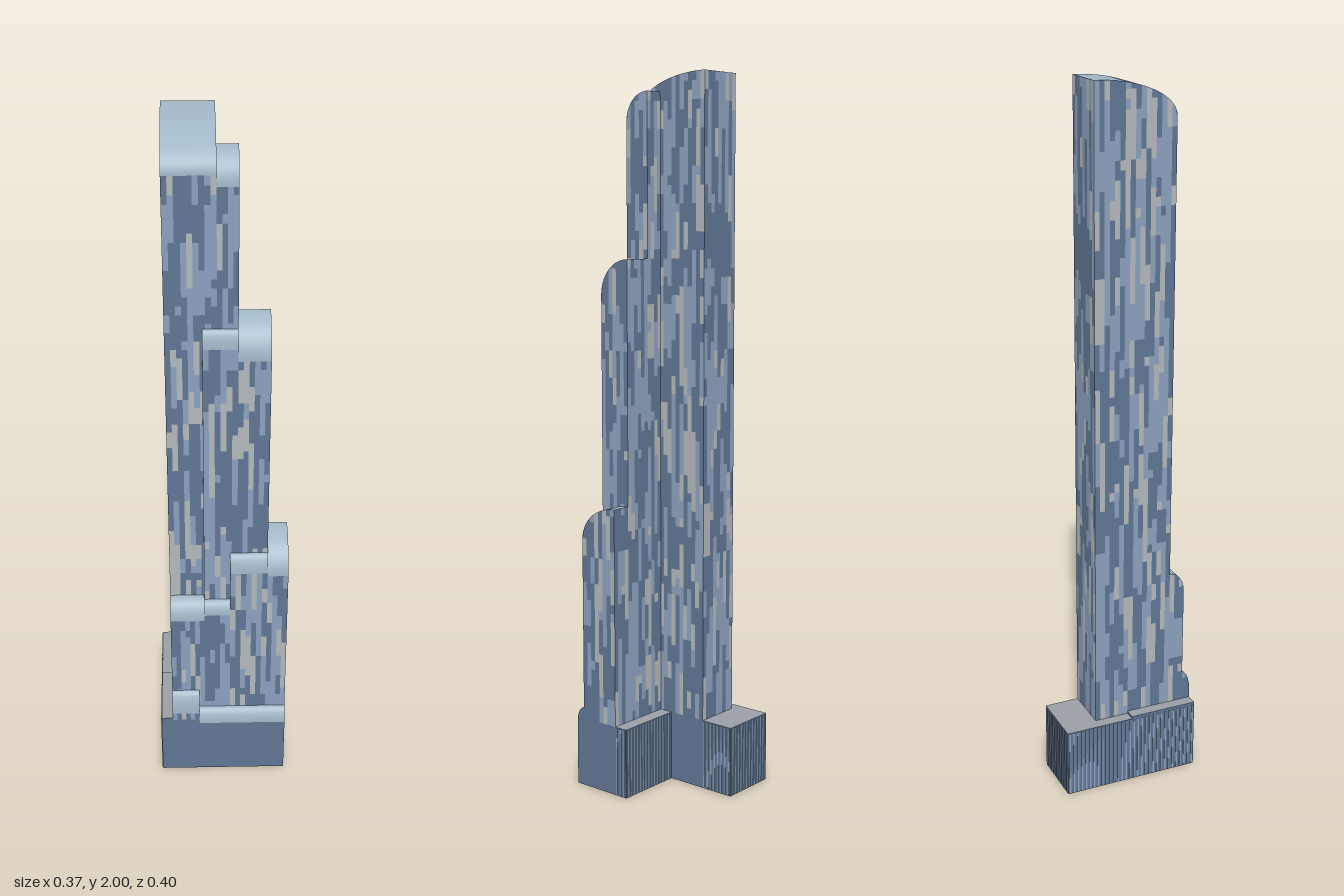
import * as THREE from 'three';
import { mergeGeometries } from 'three/addons/utils/BufferGeometryUtils.js';

const material = (color) => new THREE.MeshStandardMaterial({ color, side: THREE.DoubleSide });

const BASE_TOP = 0.2;

// Small seeded generator for the mosaic of the cladding
function makeRandom(seed) {
  let s = seed;
  return () => (s = (s * 16807) % 2147483647) / 2147483647;
}

function geometryFromPositions(positions) {
  const g = new THREE.BufferGeometry();
  g.setAttribute('position', new THREE.Float32BufferAttribute(positions, 3));
  g.computeVertexNormals();
  return g;
}

// Name, x range, z range, height at the back edge, height at the front edge
const VOLUMES = [
  ['mainTower', -0.15, -0.015, -0.1, 0.13, 2.0, 1.9],
  ['upperSideTower', -0.015, 0.04, 0.055, 0.13, 1.95, 1.87],
  ['middleSideTower', 0.04, 0.125, 0.055, 0.15, 1.5, 1.4],
  ['middleFrontBay', -0.053, 0.04, 0.13, 0.15, 1.485, 1.435],
  ['lowerSideTower', 0.125, 0.183, 0.055, 0.175, 0.82, 0.72],
  ['lowerFrontBay', 0.02, 0.125, 0.15, 0.175, 0.785, 0.73],
  ['lowCentreBay', -0.053, 0.02, 0.15, 0.175, 0.62, 0.58],
  ['lowOuterBay', -0.15, -0.053, 0.13, 0.175, 0.62, 0.56],
  ['entranceHighBay', -0.15, -0.07, 0.175, 0.2, 0.295, 0.225],
  ['entranceLowBay', -0.07, 0.183, 0.175, 0.2, 0.23, 0.185],
  ['rearPodium', -0.183, -0.015, -0.2, -0.1, 0.2, 0.2],
  ['sidePodiumRear', -0.183, -0.15, -0.1, 0, 0.2, 0.2],
  ['sidePodiumFront', -0.183, -0.15, 0, 0.2, 0.207, 0.207],
  ['wingPodium', -0.015, 0.183, 0.015, 0.055, 0.2, 0.2],
];

export function createModel() {
  const model = new THREE.Group();
  model.name = 'steppedTower';
  const random = makeRandom(4711);
  const claddings = [
    ['darkCladding', material(0x5f7693)],
    ['blueCladding', material(0x8ba0bd)],
    ['paleCladding', material(0xb2b7ba)],
  ];
  const roofMaterial = material(0x9fb6c6);
  const deckMaterial = material(0x999fa4);

  const addMesh = (parent, name, geometry, mat) => {
    const mesh = new THREE.Mesh(geometry, mat);
    mesh.name = name;
    parent.add(mesh);
  };

  // One open-bottomed volume: clad walls cut off by a quarter-ellipse roof
  function addVolume([name, x0, x1, z0, z1, top, shoulder]) {
    const group = new THREE.Group();
    group.name = name;
    const flat = top === shoulder;
    const roofHeight = (z) => {
      const t = Math.min(1, Math.max(0, (z - z0) / (z1 - z0)));
      return shoulder + (top - shoulder) * Math.sqrt(1 - t * t);
    };
    const walls = [[], [], []];
    const corners = [[x0, z1], [x1, z1], [x1, z0], [x0, z0]];

    corners.forEach(([ax, az], i) => {
      const [bx, bz] = corners[(i + 1) % 4];
      const columns = Math.max(1, Math.round(Math.hypot(bx - ax, bz - az) / 0.0145));
      const point = (t) => [ax + (bx - ax) * t, az + (bz - az) * t];

      // A panel between two heights, trimmed to the roof curve
      const addPanel = (list, t0, t1, low, high) => {
        const slices = high > shoulder && az !== bz ? 4 : 1;
        for (let k = 0; k < slices; k++) {
          const [px, pz] = point(t0 + ((t1 - t0) * k) / slices);
          const [qx, qz] = point(t0 + ((t1 - t0) * (k + 1)) / slices);
          const p = roofHeight(pz), q = roofHeight(qz);
          if (Math.max(p, q) <= low) continue;
          const pl = Math.min(low, p), ph = Math.min(high, p);
          const ql = Math.min(low, q), qh = Math.min(high, q);
          list.push(px, pl, pz, qx, ql, qz, qx, qh, qz, px, pl, pz, qx, qh, qz, px, ph, pz);
        }
      };

      addPanel(walls[0], 0, 1, 0, Math.min(BASE_TOP, shoulder));
      for (let c = 0; c < columns; c++) {
        let y = Math.min(BASE_TOP, shoulder);
        while (y < top - 1e-4) {
          const next = Math.min(top, y + 0.025 * (1 + Math.floor(random() * 6)));
          const r = random();
          const tone = flat || top < 0.25 || r < 0.46 ? 0 : r < 0.82 ? 1 : 2;
          addPanel(walls[tone], c / columns, (c + 1) / columns, y, next);
          y = next;
        }
      }
    });
    walls.forEach((list, i) => {
      if (list.length) addMesh(group, claddings[i][0], geometryFromPositions(list), claddings[i][1]);
    });

    // Roof sheet, bent from the front shoulder up to the back edge
    const sheet = new THREE.PlaneGeometry(1, 1, 1, flat ? 1 : 32);
    const pos = sheet.attributes.position;
    for (let i = 0; i < pos.count; i++) {
      const a = ((pos.getY(i) + 0.5) * Math.PI) / 2;
      pos.setXYZ(i, x0 + (x1 - x0) * (pos.getX(i) + 0.5),
        shoulder + (top - shoulder) * Math.sin(a), z0 + (z1 - z0) * Math.cos(a));
    }
    sheet.computeVertexNormals();
    addMesh(group, flat ? 'deck' : 'curvedRoof', sheet, flat ? deckMaterial : roofMaterial);
    model.add(group);
  }
  VOLUMES.forEach(addVolume);

  // Upright ribs along the rear and side podium walls
  const ribs = [];
  const addRibs = (ax, az, bx, bz) => {
    const count = Math.round(Math.hypot(bx - ax, bz - az) / 0.0125);
    for (let i = 0; i < count; i++) {
      const t = (i + 0.5) / count;
      const rib = new THREE.BoxGeometry(0.004, BASE_TOP - 0.004, 0.004);
      ribs.push(rib.translate(ax + (bx - ax) * t, BASE_TOP / 2, az + (bz - az) * t));
    }
  };
  addRibs(-0.183, -0.2, -0.183, 0.2);
  addRibs(-0.183, -0.2, -0.015, -0.2);
  addRibs(-0.015, -0.2, -0.015, -0.1);
  addRibs(-0.015, 0.015, 0.183, 0.015);
  addRibs(0.183, 0.015, 0.183, 0.055);
  addMesh(model, 'podiumRibs', mergeGeometries(ribs), claddings[1][1]);

  return model;
}
